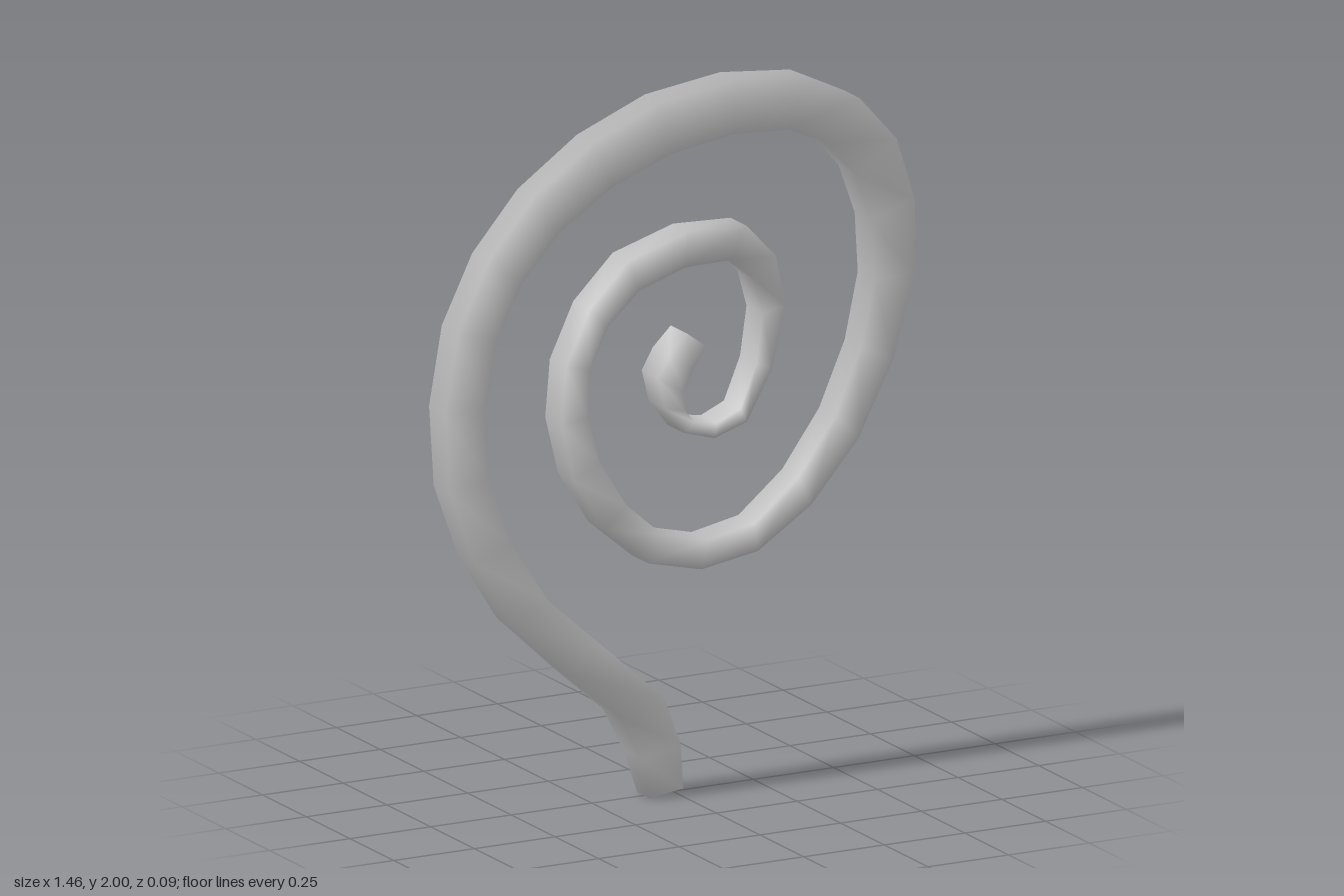
import * as THREE from 'three';

const DEPTH = 0.047; // half thickness front to back
const BASE_DEPTH = 0.035; // half thickness at the foot

// Stem cross-sections from foot to tip: outer edge x, y, then inner edge x, y
const EDGES = [
  [-0.09, 0, 0.015, 0.015], [-0.19, 0.247, -0.052, 0.284], [-0.52, 0.55, -0.41, 0.605],
  [-0.715, 0.95, -0.595, 0.97], [-0.69, 1.4, -0.57, 1.36], [-0.455, 1.755, -0.375, 1.645],
  [-0.06, 1.97, -0.03, 1.82], [0.39, 1.98, 0.335, 1.84], [0.67, 1.77, 0.54, 1.69],
  [0.726, 1.38, 0.6, 1.38], [0.55, 0.935, 0.48, 1.01], [0.24, 0.66, 0.23, 0.74],
  [-0.1, 0.67, -0.055, 0.745], [-0.33, 0.935, -0.25, 0.975], [-0.355, 1.26, -0.28, 1.24],
  [-0.16, 1.535, -0.13, 1.445], [0.205, 1.585, 0.155, 1.495], [0.325, 1.345, 0.255, 1.33],
  [0.205, 1.03, 0.185, 1.07], [0.01, 1.025, 0.045, 1.05], [-0.07, 1.19, 0.01, 1.14],
  [0.02, 1.305, 0.08, 1.26],
];

// Curve through one edge of the stem; column is where its x sits in a row
const edgeCurve = (column) => new THREE.CatmullRomCurve3(
  EDGES.map((e) => new THREE.Vector3(e[column], e[column + 1], 0)), false, 'catmullrom', 0.5);

// Four-sided stem with shared corners, so that the shading runs smoothly round it
function stemGeometry() {
  const outer = edgeCurve(0), inner = edgeCurve(2);
  const segments = (EDGES.length - 1) * 2;
  const positions = [], index = [];

  for (let i = 0; i <= segments; i++) {
    const o = outer.getPoint(i / segments), n = inner.getPoint(i / segments);
    const d = i === 0 ? BASE_DEPTH : DEPTH;
    positions.push(o.x, o.y, d, n.x, n.y, d, n.x, n.y, -d, o.x, o.y, -d);
  }

  // Skin between neighbouring cross-sections
  for (let i = 0; i < segments; i++) {
    for (let j = 0; j < 4; j++) {
      const a = i * 4 + j, b = i * 4 + ((j + 1) % 4);
      index.push(a, b, a + 4, b, b + 4, a + 4);
    }
  }

  // Foot and tip ends
  const tip = segments * 4;
  index.push(0, 3, 2, 0, 2, 1, tip, tip + 1, tip + 2, tip, tip + 2, tip + 3);

  const geometry = new THREE.BufferGeometry();
  geometry.setAttribute('position', new THREE.Float32BufferAttribute(positions, 3));
  geometry.setIndex(index);
  geometry.computeVertexNormals();
  return geometry;
}

export function createModel() {
  const group = new THREE.Group();
  group.name = 'spiralTendril';
  const stem = new THREE.Mesh(stemGeometry(), new THREE.MeshStandardMaterial({ color: 0xcccccc }));
  stem.name = 'spiralStem';
  group.add(stem);
  return group;
}
